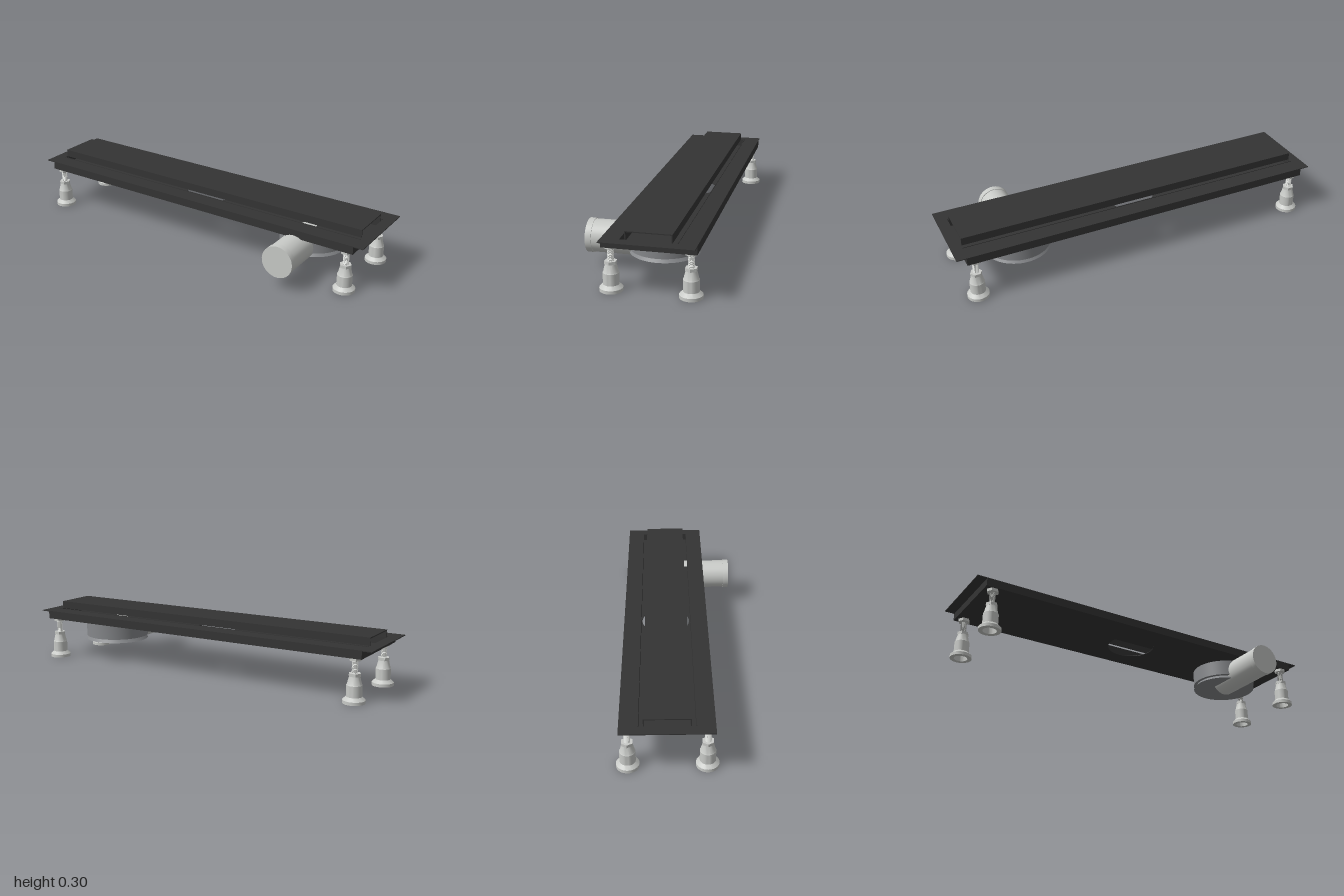
import * as THREE from 'three';
import { toCreasedNormals } from 'three/addons/utils/BufferGeometryUtils.js';

const mat = (name, color) => new THREE.MeshStandardMaterial({ name, color });

export function createModel() {
  const black = mat('matte black', 0x343434);
  const light = mat('light grey plastic', 0xc8cac7);
  const grey = mat('mid grey plastic', 0x85878a);

  const model = new THREE.Group();
  model.name = 'linearDrain';

  const add = (name, geometry, material, parent = model) => {
    const mesh = new THREE.Mesh(geometry, material);
    mesh.name = name;
    parent.add(mesh);
    return mesh;
  };
  // box given by its limits
  const box = (name, x0, x1, y0, y1, z0, z1, parent) =>
    add(name, new THREE.BoxGeometry(x1 - x0, y1 - y0, z1 - z0), black, parent)
      .position.set((x0 + x1) / 2, (y0 + y1) / 2, (z0 + z1) / 2);
  const lathe = (points, segments = 40) => toCreasedNormals(
    new THREE.LatheGeometry(points.map(([r, y]) => new THREE.Vector2(r, y)), segments), 0.5);
  // horizontal plate with one hole
  const plate = (name, x, z0, z1, y, thickness, hole, parent) => {
    const shape = new THREE.Shape([[-x, -z1], [x, -z1], [x, -z0], [-x, -z0]]
      .map(([a, b]) => new THREE.Vector2(a, b)));
    shape.holes.push(hole);
    const geometry = new THREE.ExtrudeGeometry(shape,
      { depth: thickness, bevelEnabled: false, curveSegments: 24 });
    geometry.rotateX(-Math.PI / 2);
    add(name, geometry, black, parent).position.y = y;
  };

  const back = -0.286, front = 0.152;        // tray edges in z
  const slotBack = -0.197, slotFront = 0.064; // channel edges in z
  const midZ = -0.067;

  // Tray: flange with a long slot, skirts, channel walls and floor
  const tray = new THREE.Group();
  tray.name = 'tray';
  model.add(tray);
  const slot = new THREE.Path([[-0.943, -slotFront], [-0.943, -slotBack],
    [0.943, -slotBack], [0.943, -slotFront]].map(([a, b]) => new THREE.Vector2(a, b)));
  plate('flange', 1, back, front, 0.259, 0.004, slot, tray);
  const outlet = new THREE.Path();
  outlet.absarc(-0.005, -midZ, 0.125, 0, Math.PI * 2, true);
  plate('channelFloor', 0.95, back, front, 0.22, 0.003, outlet, tray);
  box('frontSkirt', -0.95, 0.95, 0.22, 0.26, front - 0.004, front, tray);
  box('backSkirt', -0.95, 0.95, 0.22, 0.26, back, back + 0.004, tray);
  for (const s of [-1, 1]) {
    const x = s * 0.948;
    box('endSkirt', x - 0.002, x + 0.002, 0.22, 0.26, back, front, tray);
  }
  box('frontChannelWall', -0.945, 0.945, 0.222, 0.266, slotFront, slotFront + 0.003, tray);
  box('backChannelWall', -0.945, 0.945, 0.222, 0.266, slotBack - 0.003, slotBack, tray);

  // Cover: inverted channel with open ends
  const cover = new THREE.Group();
  cover.name = 'cover';
  model.add(cover);
  box('coverTop', -0.945, 0.942, 0.298, 0.303, -0.175, 0.043, cover);
  box('coverFrontSide', -0.945, 0.942, 0.263, 0.3, 0.038, 0.043, cover);
  box('coverBackSide', -0.945, 0.942, 0.263, 0.3, -0.175, -0.17, cover);

  // Water trap below the tray
  const trap = new THREE.Group();
  trap.name = 'waterTrap';
  trap.position.set(0.632, 0, midZ);
  model.add(trap);
  add('trapBody', lathe([[0, 0.107], [0.172, 0.107], [0.158, 0.125], [0.173, 0.127],
    [0.173, 0.211], [0.137, 0.213], [0.137, 0.221], [0, 0.221]], 56), grey, trap);

  // Outlet pipe with a wider closed end
  const pipe = add('outletPipe', lathe([[0, -0.066], [0.08, -0.066], [0.08, 0.278],
    [0.083, 0.278], [0.083, 0.308], [0, 0.308]], 48), light);
  pipe.rotation.x = Math.PI / 2;
  pipe.position.set(0.632, 0.153, 0);

  // Adjustable legs: hollow foot, nuts and threaded rod
  const foot = lathe([[0, 0.035], [0.032, 0.035], [0.034, 0], [0.055, 0], [0.055, 0.016],
    [0.038, 0.032], [0.038, 0.088], [0.035, 0.093], [0.026, 0.13], [0, 0.13]], 32);
  const thread = [[0.012, 0.13]];
  for (let i = 0; i < 11; i++) {
    const y = 0.142 + i * 0.006;
    thread.push([0.0125, y], [0.0155, y + 0.003]);
  }
  thread.push([0.012, 0.22]);
  const rod = lathe(thread, 20);
  const nut = toCreasedNormals(new THREE.CylinderGeometry(0.03, 0.03, 0.015, 6), 0.5);
  for (const x of [-0.905, 0.905]) {
    for (const z of [0.12, -0.251]) {
      const leg = new THREE.Group();
      leg.name = 'leg';
      leg.position.set(x, 0, z);
      model.add(leg);
      add('foot', foot, light, leg);
      add('threadedRod', rod, light, leg);
      for (const y of [0.137, 0.2125]) {
        const n = add('nut', nut, light, leg);
        n.position.y = y;
        n.rotation.y = Math.PI / 2;
      }
    }
  }
  return model;
}
